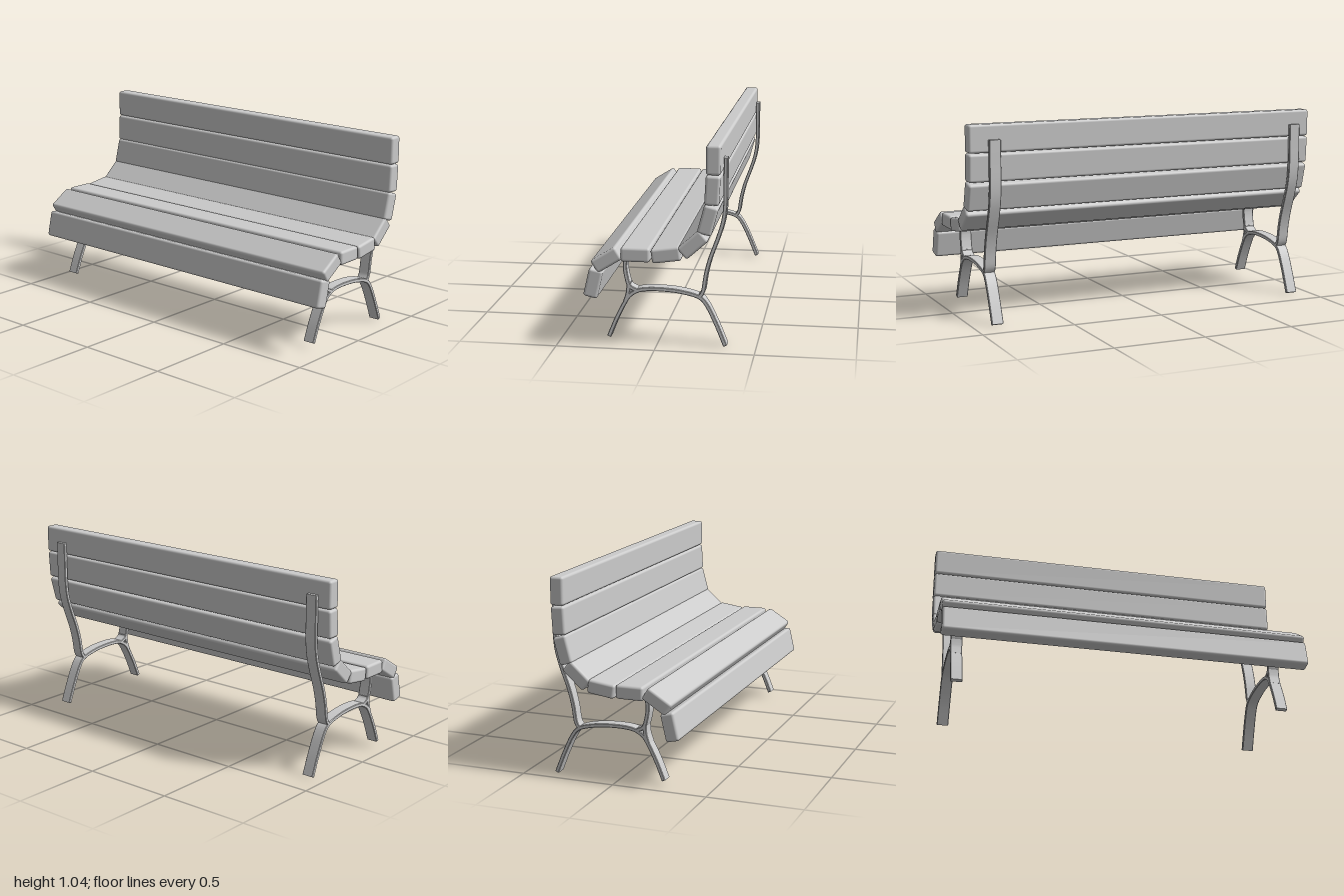
import * as THREE from 'three';
import { toCreasedNormals } from 'three/addons/utils/BufferGeometryUtils.js';
import { RoundedBoxGeometry } from 'three/addons/geometries/RoundedBoxGeometry.js';

const material = new THREE.MeshStandardMaterial({ color: 0xcccccc });

// Flat bar of constant thickness bent along a curve through [z, y] points
function bentBar(name, points, samples = 32) {
  const thickness = 0.02, width = 0.063, bevel = 0.003;
  const curve = new THREE.SplineCurve(points.map(([z, y]) => new THREE.Vector2(z, y)));
  const left = [], right = [];
  for (let i = 0; i <= samples; i++) {
    const p = curve.getPointAt(i / samples);
    const t = curve.getTangentAt(i / samples);
    const n = new THREE.Vector2(-t.y, t.x).multiplyScalar(thickness / 2 - bevel);
    left.push(p.clone().add(n));
    right.unshift(p.clone().sub(n));
  }
  const geometry = new THREE.ExtrudeGeometry(new THREE.Shape([...left, ...right]), {
    depth: width - 2 * bevel, bevelEnabled: true, bevelThickness: bevel, bevelSize: bevel, bevelSegments: 1,
  });
  geometry.translate(0, 0, bevel - width / 2);
  geometry.rotateY(-Math.PI / 2);
  const mesh = new THREE.Mesh(toCreasedNormals(geometry, 0.6), material);
  mesh.name = name;
  return mesh;
}

// One side frame: leg arch, back upright, front support and its brace
function sideFrame(name, x) {
  const frame = new THREE.Group();
  frame.name = name;
  frame.add(
    bentBar('legArch', [
      [0.247, 0.03], [0.209, 0.123], [0.164, 0.212], [0.137, 0.25], [0.095, 0.275], [0.04, 0.284],
      [-0.037, 0.284], [-0.12, 0.276], [-0.209, 0.253], [-0.25, 0.212], [-0.297, 0.117], [-0.343, 0.005],
    ], 60),
    bentBar('backUpright', [
      [-0.341, 0.961], [-0.341, 0.85], [-0.34, 0.73], [-0.33, 0.645], [-0.305, 0.56],
      [-0.267, 0.455], [-0.245, 0.369], [-0.232, 0.285], [-0.215, 0.256],
    ], 40),
    bentBar('frontSupport', [
      [0.158, 0.443], [0.164, 0.396], [0.156, 0.341], [0.141, 0.296], [0.105, 0.275],
    ], 24),
    bentBar('supportBrace', [[0.146, 0.31], [0.15, 0.26], [0.164, 0.215]], 12),
  );
  frame.position.x = x;
  return frame;
}

export function createModel() {
  const bench = new THREE.Group();
  bench.name = 'bench';

  // Slats from the front lip to the top of the back: z, y, slope in degrees
  const slats = [
    [0.307, 0.331, 77], [0.239, 0.454, 32], [0.094, 0.485, 0], [-0.059, 0.49, 8],
    [-0.192, 0.546, 42], [-0.265, 0.67, 75], [-0.287, 0.819, 87], [-0.292, 0.969, 90],
  ];
  const slatGeometry = new RoundedBoxGeometry(2, 0.073, 0.147, 3, 0.014);
  slats.forEach(([z, y, slope], i) => {
    const slat = new THREE.Mesh(slatGeometry, material);
    slat.name = i < 4 ? `seatSlat${i + 1}` : `backSlat${i - 3}`;
    slat.position.set(0, y, z);
    slat.rotation.x = THREE.MathUtils.degToRad(slope);
    bench.add(slat);
  });

  bench.add(sideFrame('rightFrame', -0.9), sideFrame('leftFrame', 0.867));
  return bench;
}
